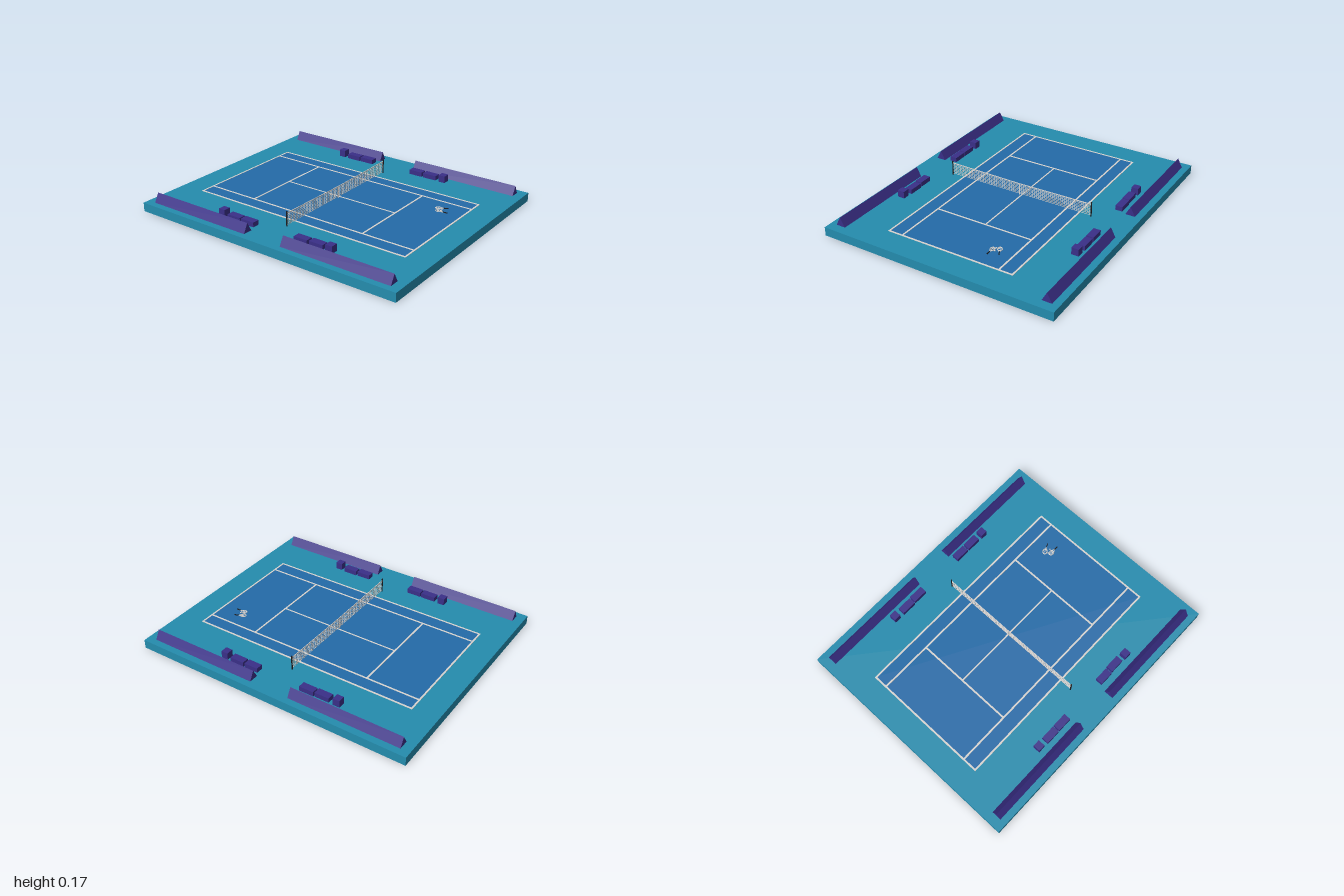
import * as THREE from 'three';
import { mergeGeometries } from 'three/addons/utils/BufferGeometryUtils.js';

const mat = (name, color) => new THREE.MeshStandardMaterial({ name, color });

export function createModel() {
  const model = new THREE.Group();
  model.name = 'tennisCourt';
  const teal = mat('teal ground', 0x248cae);
  const blue = mat('court blue', 0x236ba8);
  const purple = mat('purple', 0x3a2f88);
  const white = mat('line white', 0xd6d3d0);
  const black = mat('post black', 0x1c1c1e);
  const TOP = 0.062;

  const add = (name, geo, material, parent = model) => {
    const m = new THREE.Mesh(geo, material);
    m.name = name;
    parent.add(m);
    return m;
  };
  // Box given by its extents
  const block = (x0, x1, y0, y1, z0, z1) =>
    new THREE.BoxGeometry(x1 - x0, y1 - y0, z1 - z0)
      .translate((x0 + x1) / 2, (y0 + y1) / 2, (z0 + z1) / 2);

  // Ground slab and playing surface
  add('ground', block(-0.835, 0.835, 0, TOP, -1, 1), teal);
  add('playingSurface', block(-0.46, 0.46, TOP - 0.001, TOP + 0.001, -0.823, 0.823), blue);

  // Painted lines
  const line = (x0, x1, z0, z1) => block(x0, x1, TOP, TOP + 0.0025, z0, z1);
  const lines = [line(0.013, 0.023, -0.443, 0.443)];
  for (const x of [-0.457, -0.355, 0.36, 0.455]) lines.push(line(x - 0.006, x + 0.006, -0.825, 0.825));
  for (const s of [-1, 1]) {
    lines.push(line(-0.463, 0.461, s * 0.819 - 0.006, s * 0.819 + 0.006));
    lines.push(line(-0.355, 0.36, s * 0.443 - 0.006, s * 0.443 + 0.006));
  }
  add('courtLines', mergeGeometries(lines), white);

  // Triangular barriers along both sides
  const tri = new THREE.Shape();
  tri.moveTo(-0.034, 0);
  tri.lineTo(0.034, 0);
  tri.lineTo(0, 0.063);
  tri.closePath();
  const prism = new THREE.ExtrudeGeometry(tri, { depth: 0.794, bevelEnabled: false });
  for (const x of [-0.756, 0.754])
    for (const z of [-0.937, 0.143]) add('barrier', prism, purple).position.set(x, TOP, z);

  // Benches with a taller box at the outer end: x centre, z start, z end, top
  const seats = [
    [-0.656, -0.455, -0.406, 0.111], [-0.66, -0.376, -0.272, 0.094], [-0.659, -0.264, -0.16, 0.094],
    [-0.654, 0.162, 0.262, 0.094], [-0.649, 0.274, 0.376, 0.094], [-0.655, 0.402, 0.451, 0.111],
    [0.662, -0.455, -0.406, 0.111], [0.66, -0.376, -0.272, 0.094], [0.664, -0.264, -0.16, 0.094],
    [0.67, 0.162, 0.262, 0.094], [0.671, 0.274, 0.376, 0.094], [0.668, 0.402, 0.451, 0.111],
  ];
  for (const [x, z0, z1, top] of seats)
    add(top > 0.1 ? 'sideBox' : 'bench', block(x - 0.025, x + 0.025, TOP, top, z0, z1), purple);

  // Net posts
  for (const x of [-0.547, 0.543])
    add('netPost', new THREE.CylinderGeometry(0.0045, 0.0045, 0.104, 10), black)
      .position.set(x, TOP + 0.052, 0);

  // Net of crossing cords, dipping slightly in the middle
  const bar = (x0, y0, x1, y1, w, d = w) =>
    new THREE.BoxGeometry(Math.hypot(x1 - x0, y1 - y0), w, d)
      .rotateZ(Math.atan2(y1 - y0, x1 - x0))
      .translate((x0 + x1) / 2, (y0 + y1) / 2, 0);
  const half = 0.545, low = 0.072;
  const topAt = (x) => 0.145 + 0.007 * Math.abs(x) / half;
  const cords = [], rows = 7, cols = 72;
  for (let i = 0; i <= cols; i++) {
    const x = -half + (2 * half * i) / cols;
    cords.push(bar(x, low, x, topAt(x), 0.0022));
  }
  for (let j = 0; j <= rows; j++)
    for (const s of [-1, 1]) {
      const at = (x) => low + (topAt(x) - low) * j / rows;
      const ends = s < 0 ? [-half, 0] : [0, half];
      cords.push(bar(ends[0], at(ends[0]), ends[1], at(ends[1]), j === rows ? 0.006 : 0.0022, j === rows ? 0.004 : 0.0022));
    }
  cords.push(block(-0.004, 0.004, TOP, 0.147, -0.002, 0.002));
  add('net', mergeGeometries(cords), white);

  // Two rackets lying on the court, with handles pointing toward local +z
  const racket = (x, z, turn) => {
    const g = new THREE.Group();
    g.name = 'racket';
    add('racketFrame', new THREE.TorusGeometry(0.016, 0.0025, 6, 20).rotateX(Math.PI / 2).scale(1, 1, 1.25), white, g);
    const strings = [];
    for (let i = -2; i <= 2; i++) {
      const w = 0.016 * Math.sqrt(1 - (i / 3) ** 2);
      strings.push(block(i * 0.0053 - 0.0006, i * 0.0053 + 0.0006, -0.0006, 0.0006, -w * 1.25, w * 1.25));
      strings.push(block(-w, w, -0.0006, 0.0006, i * 0.0066 - 0.0006, i * 0.0066 + 0.0006));
    }
    add('racketStrings', mergeGeometries(strings), white, g);
    for (const s of [-1, 1]) {
      const arm = add('racketThroat', new THREE.BoxGeometry(0.003, 0.003, 0.02), white, g);
      arm.position.set(s * 0.005, 0, 0.026);
      arm.rotation.y = -s * 0.45;
    }
    add('racketHandle', block(-0.0025, 0.0025, -0.0025, 0.0025, 0.032, 0.064), black, g);
    g.position.set(x, TOP + 0.004, z);
    g.rotation.y = turn;
    model.add(g);
  };
  racket(0.211, 0.655, 0);
  racket(0.25, 0.632, 0.45);

  // Balls beside the rackets
  for (const [x, z] of [[0.226, 0.637], [0.235, 0.667]])
    add('ball', new THREE.SphereGeometry(0.005, 10, 8), white).position.set(x, TOP + 0.006, z);

  return model;
}
